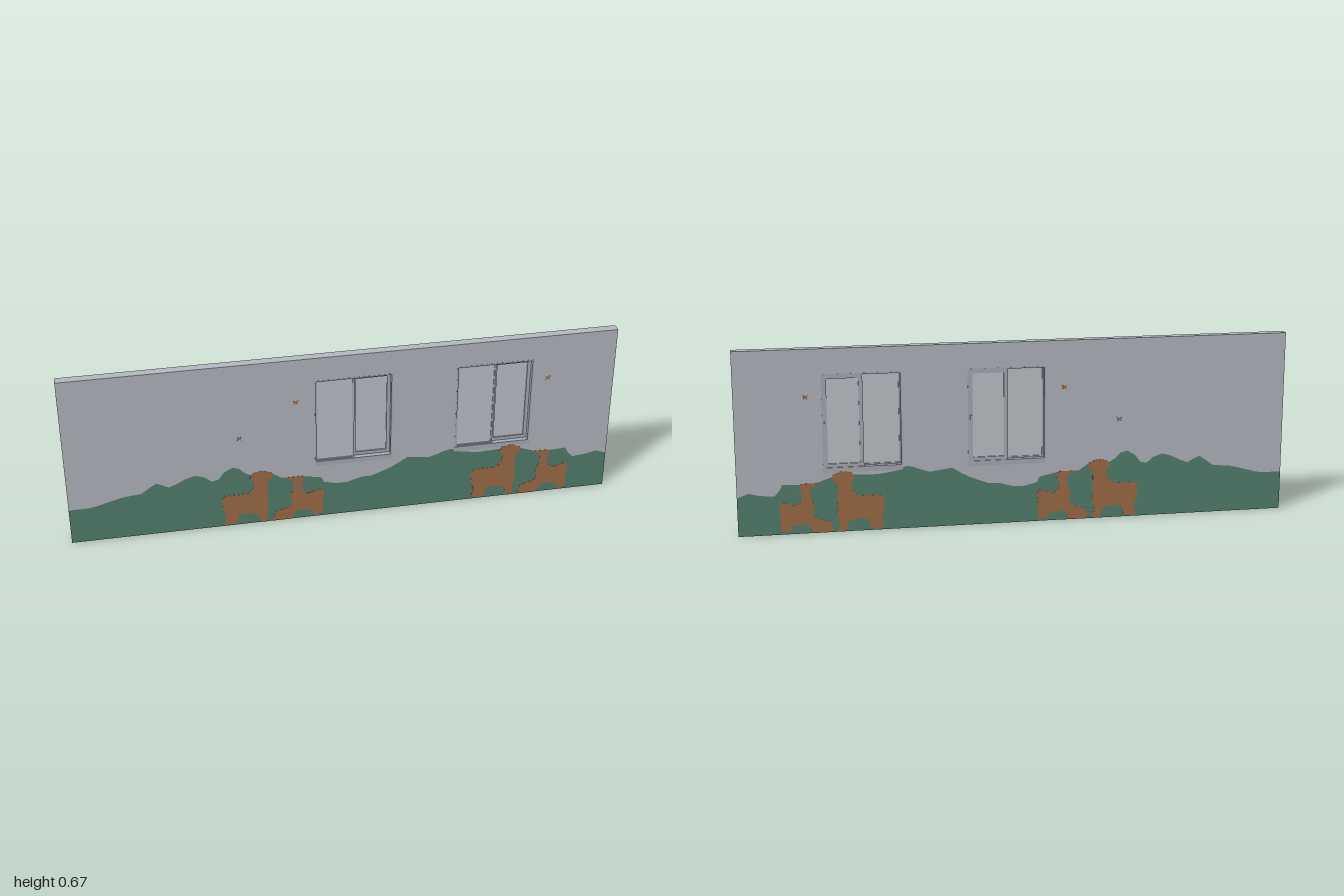
import * as THREE from 'three';

const mat = (name, color) => Object.assign(new THREE.MeshStandardMaterial({ color }), { name });
const FRONT = 0.018, BACK = -0.015;

// hilltop line of the painted green band, left to right
const hills = [
  [-1, .142], [-.93, .142], [-.9, .147], [-.845, .163], [-.8, .174], [-.74, .179], [-.71, .2], [-.685, .217],
  [-.66, .206], [-.64, .195], [-.61, .206], [-.58, .222], [-.545, .233], [-.51, .222], [-.485, .2], [-.46, .206],
  [-.44, .233], [-.41, .25], [-.385, .243], [-.365, .222], [-.335, .206], [-.265, .208], [-.23, .184], [-.16, .184],
  [-.14, .179], [-.085, .168], [-.075, .147], [-.03, .136], [.01, .136], [.065, .152], [.1, .152], [.13, .163],
  [.17, .179], [.2, .195], [.235, .217], [.28, .211], [.315, .206], [.35, .217], [.375, .227], [.4, .232],
  [.43, .217], [.5, .206], [.55, .208], [.62, .211], [.66, .205], [.69, .195], [.735, .179], [.84, .184],
  [.85, .163], [.87, .142], [.92, .147], [.96, .157], [1, .142],
];
const largeAnimal = [
  [-.45, .12], [-.433, .131], [-.353, .131], [-.337, .152], [-.332, .184], [-.348, .195], [-.337, .217], [-.3, .224],
  [-.267, .211], [-.267, .19], [-.283, .179], [-.283, .09], [-.278, .067], [-.289, .045], [-.283, 0], [-.31, 0],
  [-.32, .035], [-.345, .045], [-.39, .045], [-.4, .006], [-.449, .006], [-.438, .04], [-.45, .078],
];
const smallAnimal = [
  [-.219, .184], [-.155, .184], [-.15, .163], [-.16, .142], [-.155, .12], [-.134, .104], [-.086, .12], [-.075, .104],
  [-.08, .06], [-.08, .013], [-.112, .006], [-.123, .03], [-.176, .035], [-.198, 0], [-.267, 0], [-.257, .04],
  [-.214, .05], [-.193, .067], [-.203, .1], [-.187, .131], [-.187, .163],
];

const shapeOf = pts => new THREE.Shape(pts.map(p => new THREE.Vector2(...p)));
const rect = (x0, y0, x1, y1) => [[x0, y0], [x1, y0], [x1, y1], [x0, y1]];

function slab(name, shape, z0, z1, material) {
  const geo = new THREE.ExtrudeGeometry(shape, { depth: z1 - z0, bevelEnabled: false });
  const mesh = new THREE.Mesh(geo, material);
  mesh.name = name;
  mesh.position.z = z0;
  return mesh;
}

// rectangular ring with equal borders
function ring(name, x0, y0, x1, y1, t, z0, z1, material) {
  const shape = shapeOf(rect(x0, y0, x1, y1));
  shape.holes.push(shapeOf(rect(x0 + t, y0 + t, x1 - t, y1 - t)));
  return slab(name, shape, z0, z1, material);
}

export function createModel() {
  const model = new THREE.Group();
  model.name = 'paintedWall';
  const wall = mat('wall grey', 0xb4b8c0);
  const green = mat('hill green', 0x52806f);
  const brown = mat('animal brown', 0xa06c46);
  const frame = mat('frame grey', 0xa9adb5);
  const glass = mat('glass grey', 0xc0c4cb);

  // wall above the hills, with window openings
  const W = 0.283, Y0 = 0.233, Y1 = 0.577, windows = [-0.107, 0.411];
  const upper = shapeOf([...hills, [1, .668], [-1, .668]]);
  windows.forEach(x => upper.holes.push(shapeOf(rect(x, Y0, x + W, Y1))));
  model.add(slab('upperWall', upper, BACK, FRONT, wall));
  model.add(slab('greenHills', shapeOf([[-1, 0], [1, 0], ...[...hills].reverse()]), BACK, FRONT, green));

  // sliding windows: flush left pane, recessed right sash with handle
  windows.forEach((x, i) => {
    const g = new THREE.Group();
    g.name = 'window' + (i + 1);
    const mid = x + 0.138, x1 = x + W;
    g.add(ring('outerFrame', x, Y0, x1, Y1, 0.005, BACK - 0.0005, FRONT + 0.0005, frame));
    g.add(ring('leftSash', x + 0.004, Y0 + 0.004, mid + 0.006, Y1 - 0.004, 0.006, 0.003, 0.014, frame));
    g.add(slab('leftGlass', shapeOf(rect(x + 0.008, Y0 + 0.008, mid, Y1 - 0.008)), 0.007, 0.01, glass));
    g.add(ring('rightSash', mid, Y0 + 0.004, x1 - 0.004, Y1 - 0.004, 0.014, -0.012, 0.001, frame));
    g.add(slab('rightGlass', shapeOf(rect(mid + 0.012, Y0 + 0.016, x1 - 0.016, Y1 - 0.016)), -0.007, -0.004, glass));
    g.add(slab('handle', shapeOf(rect(x1 - 0.014, 0.392, x1 - 0.008, 0.407)), -0.017, -0.012, frame));
    g.add(slab('sill', shapeOf(rect(x, 0.219, x1 + 0.005, Y0)), BACK - 0.0005, FRONT + 0.0003, frame));
    model.add(g);
  });

  // painted animals and butterflies on both faces
  const paint = (name, pts, dx, dy = 0) => [FRONT - 0.001, BACK - 0.0008].forEach(z => {
    const plate = slab(name, shapeOf(pts), z, z + 0.0018, brown);
    plate.position.x = dx;
    plate.position.y = dy;
    model.add(plate);
  });
  [0, 0.93].forEach(dx => {
    paint('largeAnimal', largeAnimal, dx);
    paint('smallAnimal', smallAnimal, dx);
  });
  const butterfly = [[0, -.004], [.008, -.01], [.006, 0], [.011, .008], [0, .004], [-.011, .008], [-.006, 0], [-.008, -.01]];
  [[-.38, .37], [-.175, .497], [.75, .497]].forEach(([x, y]) => paint('butterfly', butterfly, x, y));
  return model;
}
